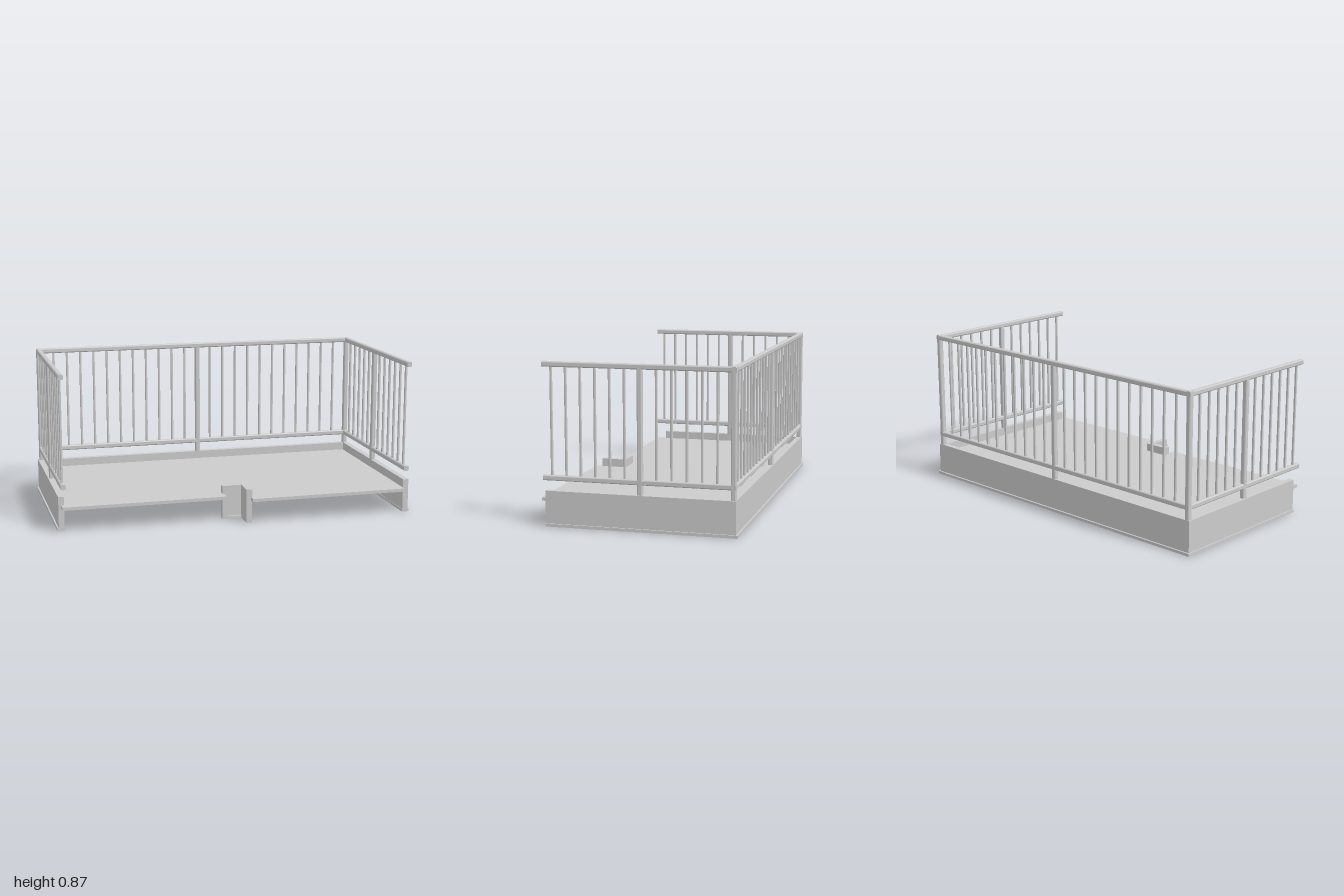
import * as THREE from 'three';
import { toCreasedNormals } from 'three/addons/utils/BufferGeometryUtils.js';

const material = new THREE.MeshStandardMaterial({ color: 0xcccccc });

function add(parent, name, geometry) {
  const mesh = new THREE.Mesh(geometry, material);
  mesh.name = name;
  parent.add(mesh);
  return mesh;
}

// Box given by its limits on each axis
function block(parent, name, [x0, x1], [y0, y1], [z0, z1]) {
  const mesh = add(parent, name, new THREE.BoxGeometry(x1 - x0, y1 - y0, z1 - z0));
  mesh.position.set((x0 + x1) / 2, (y0 + y1) / 2, (z0 + z1) / 2);
}

// Square tube with rounded edges between two points
function bar(parent, name, width, from, to) {
  const h = width / 2, r = width * 0.3;
  const shape = new THREE.Shape();
  shape.absarc(h - r, h - r, r, 0, Math.PI / 2);
  shape.absarc(r - h, h - r, r, Math.PI / 2, Math.PI);
  shape.absarc(r - h, r - h, r, Math.PI, Math.PI * 1.5);
  shape.absarc(h - r, r - h, r, Math.PI * 1.5, Math.PI * 2);
  const a = new THREE.Vector3(...from), b = new THREE.Vector3(...to);
  const geometry = new THREE.ExtrudeGeometry(shape, {
    depth: a.distanceTo(b), bevelEnabled: false, curveSegments: 3,
  });
  const mesh = add(parent, name, toCreasedNormals(geometry, 0.6));
  mesh.position.copy(a);
  mesh.lookAt(b);
}

const RAIL = 0.029, PICKET = 0.013;
const TOP = 0.854, LOW = 0.257, CURB = 0.19;
const SIDE = 0.971, BACK = -0.506;

// Two rails, posts and pickets; at(t) gives the [x, z] place along the run
function railing(parent, name, start, end, posts, pickets, at) {
  const group = new THREE.Group();
  group.name = name;
  parent.add(group);
  const upright = (label, w, t, y0) => {
    const [x, z] = at(t);
    bar(group, label, w, [x, y0, z], [x, TOP, z]);
  };
  const [xa, za] = at(start), [xb, zb] = at(end);
  bar(group, 'topRail', RAIL, [xa, TOP, za], [xb, TOP, zb]);
  bar(group, 'bottomRail', RAIL, [xa, LOW, za], [xb, LOW, zb]);
  posts.forEach((t) => upright('post', RAIL, t, CURB));
  pickets.forEach((t) => upright('picket', PICKET, t, LOW));
}

export function createModel() {
  const model = new THREE.Group();
  model.name = 'balcony';

  // Floor plate with a stepped front edge and a notch around the pillar
  const plan = new THREE.Shape([
    [-0.977, -0.5], [0.957, -0.5], [0.957, 0.53], [0.062, 0.53],
    [0.062, 0.36], [-0.064, 0.36], [-0.064, 0.443], [-0.977, 0.443],
  ].map(([x, z]) => new THREE.Vector2(x, -z)));
  const floor = add(model, 'floor', new THREE.ExtrudeGeometry(plan, { depth: 0.018, bevelEnabled: false }));
  floor.rotation.x = -Math.PI / 2;
  floor.position.y = 0.127;

  // Curbs with a wider foot on the back and both sides
  const wall = [0, CURB], foot = [0, 0.016];
  block(model, 'backCurb', [-0.992, 0.992], wall, [-0.522, -0.49]);
  block(model, 'backCurbFoot', [-1, 1], foot, [-0.531, -0.488]);
  block(model, 'leftCurb', [0.96, 0.992], wall, [-0.522, 0.497]);
  block(model, 'leftCurbFoot', [0.958, 1], foot, [-0.531, 0.497]);
  block(model, 'rightCurb', [-0.992, -0.96], wall, [-0.522, 0.387]);
  block(model, 'rightCurbFoot', [-1, -0.958], foot, [-0.531, 0.387]);

  // Curb wrapping the notch
  block(model, 'notchBackCurb', [-0.073, 0.068], wall, [0.346, 0.378]);
  block(model, 'notchRightCurb', [-0.073, -0.041], wall, [0.346, 0.387]);
  block(model, 'notchLeftCurb', [0.036, 0.068], wall, [0.346, 0.492]);
  block(model, 'notchCurbFoot', [-0.073, 0.068], foot, [0.346, 0.387]);

  // Railings
  const backPickets = [];
  for (let i = 1; i <= 11; i++) backPickets.push(-0.0803 * i, 0.0803 * i);
  railing(model, 'backRailing', -0.985, 0.985, [-SIDE, 0, SIDE], backPickets, (t) => [t, BACK]);

  const sidePickets = [];
  for (let i = 0; i < 6; i++) sidePickets.push(0.069 + 0.079 * i);
  for (let i = 0; i < 5; i++) sidePickets.push(-0.101 - 0.08 * i);
  railing(model, 'leftRailing', -0.52, 0.512, [-0.014], sidePickets, (t) => [SIDE, t]);
  // The right railing is slightly shorter, so its spacing shrinks with it
  railing(model, 'rightRailing', -0.52, 0.512, [-0.014], sidePickets,
    (t) => [-SIDE, -0.52 + (t + 0.52) * 0.935]);

  return model;
}
